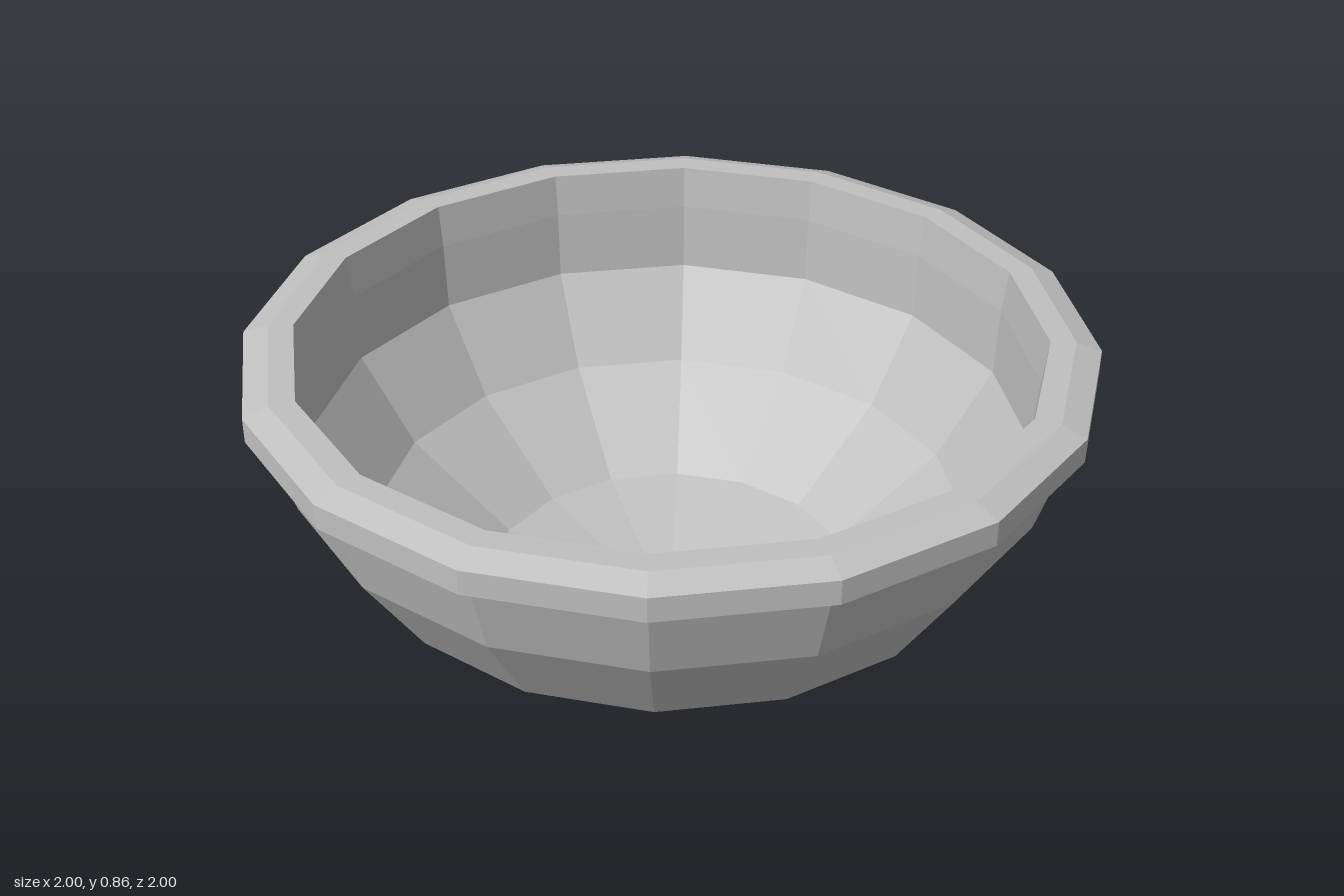
import * as THREE from 'three';

const SIDES = 16;

// Faceted ring surface; profile gives [distance to the middle of a flat side, height]
function facetedLathe(name, profile, material) {
  const k = 1 / Math.cos(Math.PI / SIDES);
  const points = profile.map(([r, y]) => new THREE.Vector2(r * k, y));
  const mesh = new THREE.Mesh(
    new THREE.LatheGeometry(points, SIDES, Math.PI / SIDES), material);
  mesh.name = name;
  return mesh;
}

export function createModel() {
  const group = new THREE.Group();
  group.name = 'bowl';
  const grey = new THREE.MeshStandardMaterial({ color: 0xc0c0c0, flatShading: true });
  grey.name = 'bowlGrey';

  // Outer shell, from the pointed base up to the underside of the rim
  group.add(facetedLathe('outerShell',
    [[0, 0], [0.475, 0.12], [0.75, 0.33], [0.9, 0.565], [0.955, 0.745]], grey));

  // Bevelled rim, around the outside and over the flat top
  group.add(facetedLathe('rim',
    [[0.955, 0.745], [1, 0.772], [1, 0.833], [0.94, 0.855], [0.88, 0.855]], grey));

  // Inner wall, down to the centre of the hollow
  group.add(facetedLathe('innerShell',
    [[0.88, 0.855], [0.868, 0.745], [0.86, 0.57], [0.72, 0.35], [0.455, 0.15], [0, 0.035]], grey));

  return group;
}
